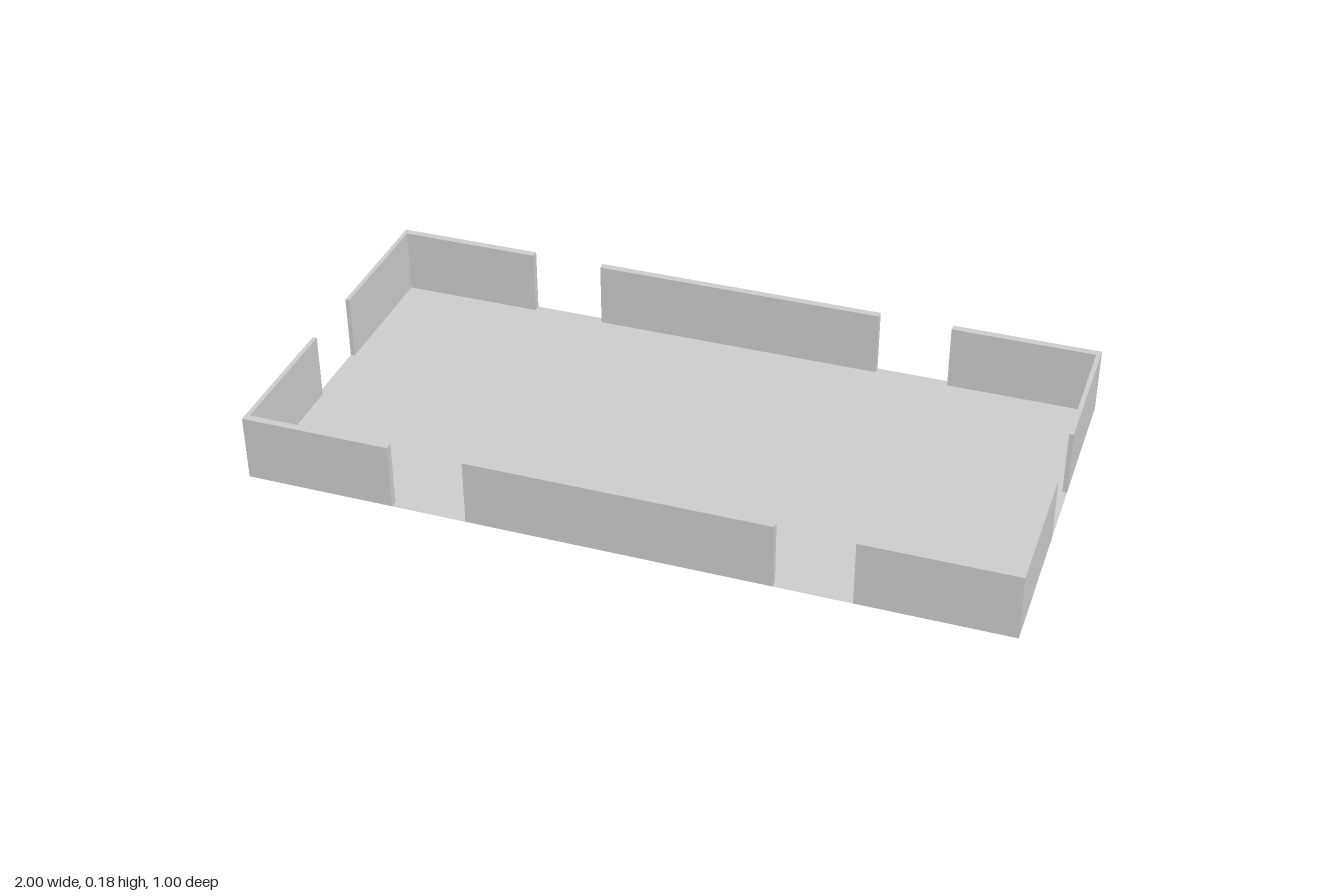
import * as THREE from 'three';

export function createModel() {
  const model = new THREE.Group();
  const grey = new THREE.MeshStandardMaterial({ color: 0xcccccc, flatShading: true });
  const sheet = new THREE.MeshStandardMaterial({ color: 0xcccccc, side: THREE.DoubleSide });
  const height = 0.18, endThick = 0.012, sideThick = 0.02;

  // Paper-thin floor
  const floor = new THREE.Mesh(new THREE.PlaneGeometry(2, 1), sheet);
  floor.name = 'floor';
  floor.rotation.x = -Math.PI / 2;
  model.add(floor);

  // Upright wall panel standing on the floor
  function wall(name, width, depth, x, z) {
    const mesh = new THREE.Mesh(new THREE.BoxGeometry(width, height, depth), grey);
    mesh.name = name;
    mesh.position.set(x, height / 2, z);
    model.add(mesh);
  }

  for (const sz of [1, -1]) {
    const end = sz > 0 ? 'front' : 'back';
    const z = sz * (0.5 - sideThick / 2);
    // Long walls: a middle panel and two corner panels, with gaps between
    wall(end + 'MiddleWall', 0.8, sideThick, 0, z);
    for (const sx of [1, -1]) {
      const side = sx > 0 ? 'Left' : 'Right';
      wall(end + side + 'CornerWall', 0.4, sideThick, sx * 0.8, z);
      // Short walls, butted against the corner panels
      wall(end + side + 'EndWall', endThick, 0.4 - sideThick,
        sx * (1 - endThick / 2), sz * (0.1 + (0.4 - sideThick) / 2));
    }
  }
  return model;
}
